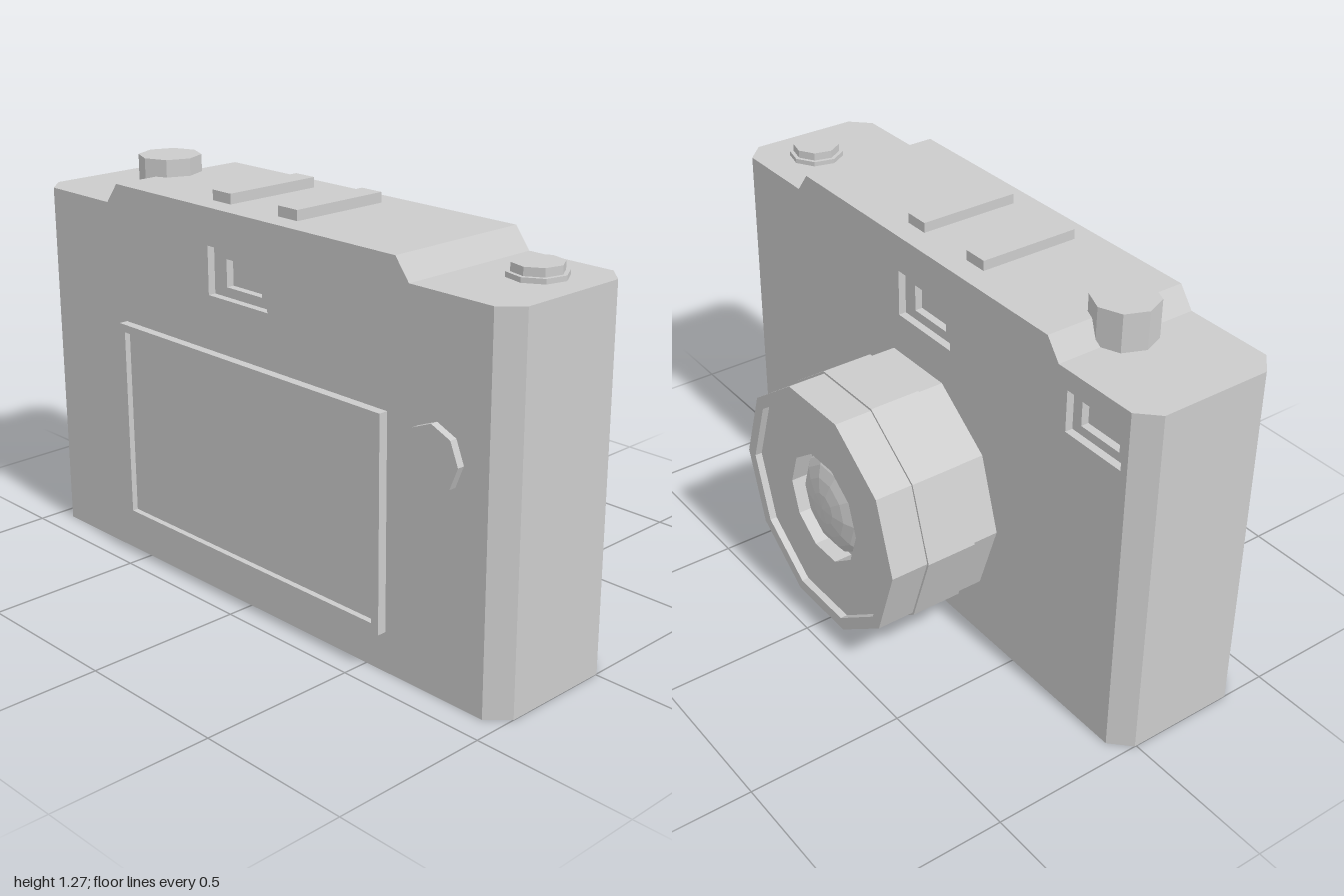
import * as THREE from 'three';

const FRONT = 0.414, BACK = -0.065, SIDE_H = 1.155, TOP_H = 1.22, CORNER = 0.06;
const material = new THREE.MeshStandardMaterial({ color: 0xcccccc, flatShading: true });

function add(group, name, geometry, x = 0, y = 0, z = 0) {
  const mesh = new THREE.Mesh(geometry, material);
  mesh.name = name;
  mesh.position.set(x, y, z);
  group.add(mesh);
  return mesh;
}

const polygon = (pts) => new THREE.Shape(pts.map(([x, y]) => new THREE.Vector2(x, y)));
const rect = ([x0, x1, y0, y1]) => polygon([[x0, y0], [x1, y0], [x1, y1], [x0, y1]]);

// Flat plate in x/y with rectangular openings
function plate(shape, holes, depth) {
  shape.holes = holes.map(rect);
  return new THREE.ExtrudeGeometry(shape, { depth, bevelEnabled: false });
}

// Front outline of the body between its corner chamfers
const outline = () => polygon([
  [-0.94, 0], [0.94, 0], [0.94, SIDE_H], [0.65, SIDE_H], [0.6, TOP_H],
  [-0.6, TOP_H], [-0.65, SIDE_H], [-0.94, SIDE_H],
]);

function createBody() {
  const body = new THREE.Group();
  body.name = 'body';
  // Stacked layers make the stepped window recesses
  const step = 0.025;
  const finder = [-0.165, 0.095, 0.955, 1.105], finderInner = [-0.11, 0.045, 0.985, 1.07];
  const sensor = [-0.915, -0.69, 0.96, 1.093], sensorInner = [-0.88, -0.725, 0.988, 1.065];
  const layers = [
    ['backSkin', [finder, sensor], step],
    ['backWindowFrames', [finderInner, sensorInner], step],
    ['core', [], FRONT - BACK - 4 * step],
    ['frontWindowFrame', [finderInner], step],
    ['frontSkin', [finder], step],
  ];
  let z = BACK;
  for (const [name, holes, depth] of layers) {
    add(body, name, plate(outline(), holes, depth), 0, 0, z);
    z += depth;
  }
  // Chamfered ends
  for (const s of [1, -1]) {
    const pts = [[0.94, -FRONT], [1, -FRONT + CORNER], [1, -BACK - CORNER], [0.94, -BACK]];
    const geometry = new THREE.ExtrudeGeometry(polygon(pts.map(([x, y]) => [s * x, y])),
      { depth: SIDE_H, bevelEnabled: false });
    geometry.rotateX(-Math.PI / 2);
    add(body, s > 0 ? 'leftEnd' : 'rightEnd', geometry);
  }
  return body;
}

function createLens() {
  const lens = new THREE.Group();
  lens.name = 'lens';
  // Barrel profile: radius, distance behind the origin
  const profile = [
    [0.405, 0.06], [0.405, 0.152], [0.412, 0.152], [0.412, 0.32], [0.405, 0.32],
    [0.405, 0.443], [0.365, 0.443], [0.365, 0.42], [0.18, 0.42], [0.18, 0.36], [0, 0.36],
  ].map(([r, d]) => new THREE.Vector2(r, d));
  const barrel = new THREE.LatheGeometry(profile, 10, Math.PI / 2);
  barrel.rotateX(-Math.PI / 2);
  add(lens, 'lensBarrel', barrel);
  // Domed glass inside the barrel
  const glass = new THREE.SphereGeometry(0.17, 10, 5, 0, Math.PI * 2, 0, Math.PI / 2);
  glass.scale(1, 0.38, 1);
  glass.rotateX(-Math.PI / 2);
  add(lens, 'lensGlass', glass, 0, 0, -0.36);
  lens.position.y = 0.438;
  return lens;
}

export function createModel() {
  const model = new THREE.Group();
  model.name = 'camera';
  model.add(createBody(), createLens());

  // Display with raised border
  add(model, 'screenBorder', plate(rect([-0.575, 0.575, 0.125, 0.785]),
    [[-0.55, 0.547, 0.153, 0.76]], 0.029), 0, 0, FRONT);
  add(model, 'screen', new THREE.BoxGeometry(1.12, 0.63, 0.02), 0, 0.456, FRONT);

  // Round button beside the display
  const button = new THREE.CylinderGeometry(0.097, 0.097, 0.03, 8);
  button.rotateX(Math.PI / 2);
  add(model, 'button', button, 0.757, 0.707, FRONT + 0.008);

  // Top controls
  add(model, 'dial', new THREE.CylinderGeometry(0.1, 0.1, 0.125, 8), -0.635, 1.2125, 0.174);
  const turn = 0.15;
  add(model, 'shutterBase', new THREE.CylinderGeometry(0.088, 0.088, 0.02, 8), 0.833, 1.16, 0.118).rotation.y = turn;
  add(model, 'shutterButton', new THREE.CylinderGeometry(0.075, 0.075, 0.03, 8), 0.833, 1.18, 0.118).rotation.y = turn;

  // Accessory rails
  for (const x of [-0.18, 0.108]) {
    add(model, 'accessoryRail', new THREE.BoxGeometry(0.08, 0.04, 0.333), x, 1.232, 0.177);
  }
  return model;
}
